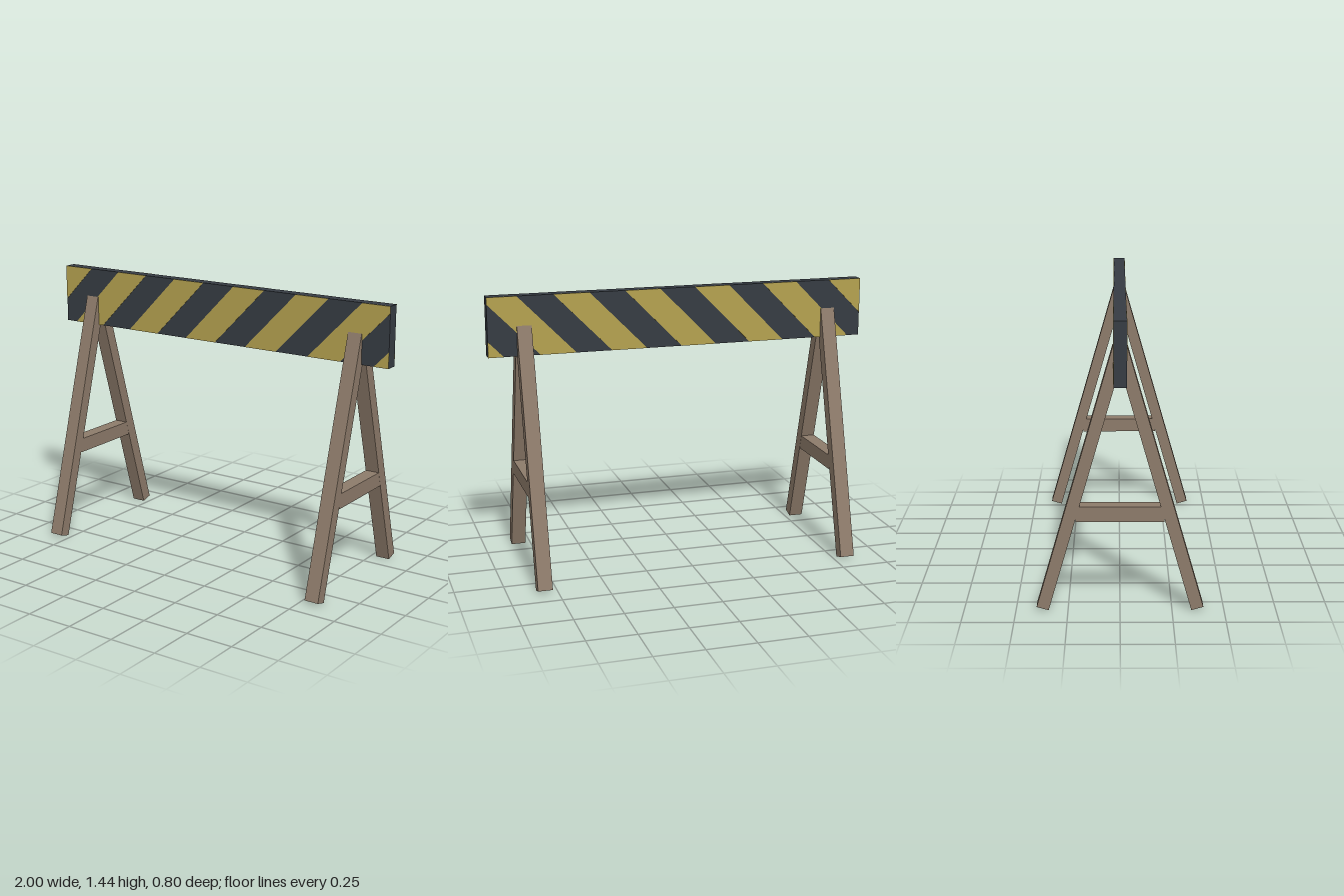
import * as THREE from 'three';

const material = (name, color) => {
  const m = new THREE.MeshStandardMaterial({ color });
  m.name = name;
  return m;
};

export function createModel() {
  const wood = material('wood', 0x8d7b6a);
  const dark = material('darkPaint', 0x363c43);
  const yellow = material('yellowPaint', 0xb5a250);
  const model = new THREE.Group();
  model.name = 'barrier';

  const box = (name, mat, size, pos, parent) => {
    const mesh = new THREE.Mesh(new THREE.BoxGeometry(...size), mat);
    mesh.name = name;
    mesh.position.set(...pos);
    parent.add(mesh);
    return mesh;
  };

  // Board
  const bottom = 1.135, top = 1.44, depth = 0.06;
  const height = top - bottom;
  box('board', dark, [2, height, depth], [0, (bottom + top) / 2, 0], model);

  // Diagonal yellow stripes, clipped to the board's ends
  const period = 0.371, lean = 0.3;
  const stripeShape = (x0, x1) => {
    // x0 and x1 are the stripe's edges along the bottom of the board
    const yAt = (x, edge) => bottom + ((x - edge) / lean) * height;
    const p = [];
    const add = (x, y) => p.push(new THREE.Vector2(x, y));
    if (x0 < -1) add(-1, Math.min(top, yAt(-1, x0)));
    else add(x0, bottom);
    if (x0 < -1 && x1 > -1) add(-1, bottom);
    if (x1 < -1) add(-1, yAt(-1, x1));
    else add(Math.min(x1, 1), bottom);
    if (x1 + lean > 1) {
      if (x1 < 1) add(1, yAt(1, x1));
      if (x0 + lean > 1) add(1, yAt(1, x0));
      else add(1, top);
    } else add(x1 + lean, top);
    if (x0 + lean <= 1) add(Math.max(x0 + lean, -1), top);
    return new THREE.Shape(p);
  };
  const stripes = new THREE.Group();
  stripes.name = 'stripes';
  model.add(stripes);
  for (let k = 0; k < 7; k++) {
    const x0 = -1.306 + k * period;
    if (x0 >= 1) continue;
    const geometry = new THREE.ExtrudeGeometry(stripeShape(x0, x0 + period / 2), {
      depth: 0.002, bevelEnabled: false,
    });
    for (const z of [depth / 2, -depth / 2 - 0.002]) {
      const stripe = new THREE.Mesh(geometry, yellow);
      stripe.name = 'stripe';
      stripe.position.z = z;
      stripes.add(stripe);
    }
  }

  // A-shaped trestles
  for (const side of [-1, 1]) {
    const trestle = new THREE.Group();
    trestle.name = side > 0 ? 'leftTrestle' : 'rightTrestle';
    trestle.position.x = side * 0.815;
    model.add(trestle);
    for (const s of [-1, 1]) {
      const leg = box(s > 0 ? 'frontLeg' : 'backLeg', wood,
        [0.075, 1.325, 0.06], [0, 0.645, s * 0.189], trestle);
      leg.rotation.x = -s * 0.28;
    }
    box('crossbar', wood, [0.074, 0.076, 0.42], [0, 0.485, 0], trestle);
  }
  return model;
}
